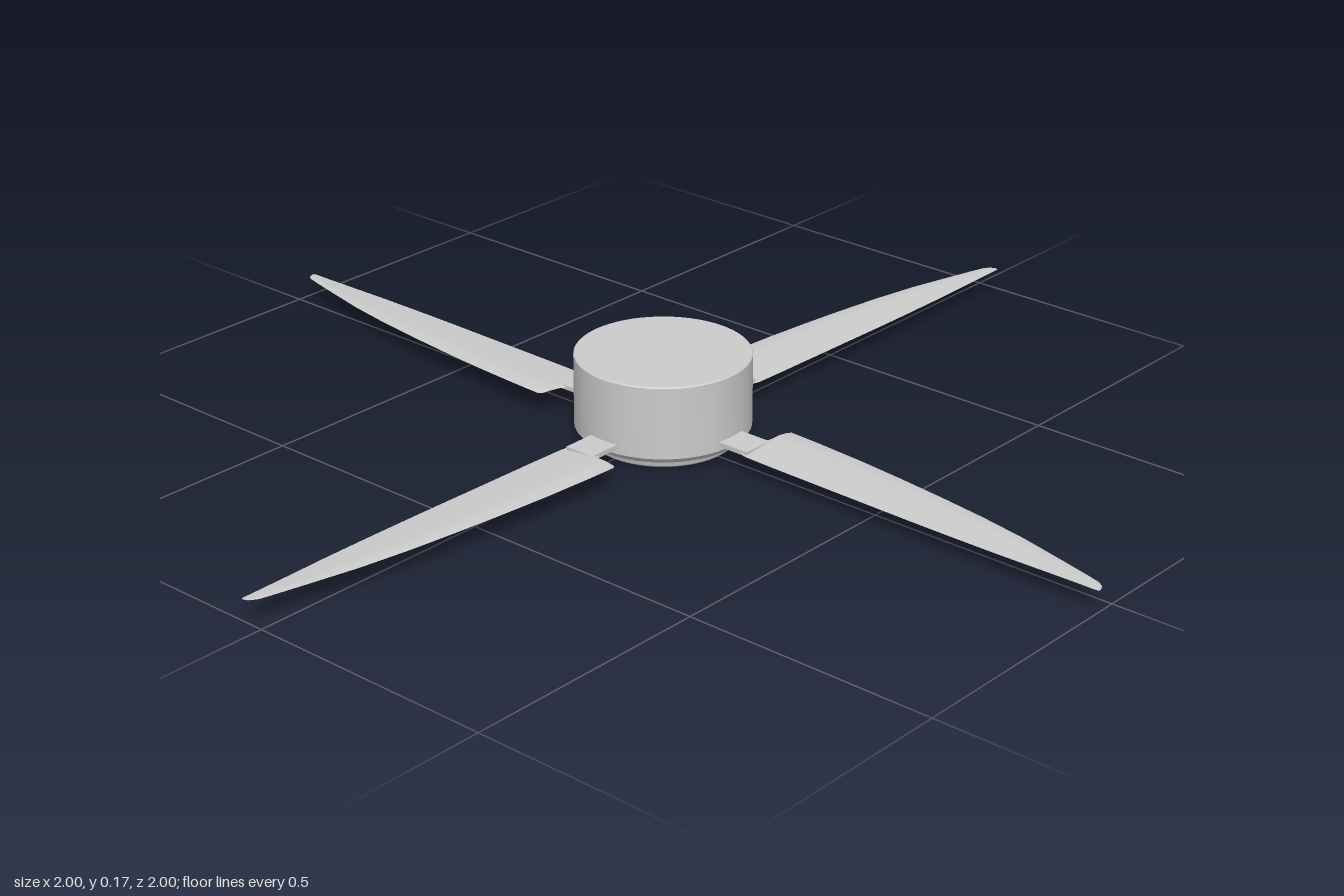
import * as THREE from 'three';
import { toCreasedNormals } from 'three/addons/utils/BufferGeometryUtils.js';

const grey = new THREE.MeshStandardMaterial({ color: 0xcccccc });

// Blade stations along +x: [x, leading z, trailing z]
const stations = [
  [0.215, -0.033, 0.033], [0.222, -0.042, 0.036], [0.227, -0.06, 0.038], [0.229, -0.083, 0.038],
  [0.235, -0.09, 0.039], [0.3, -0.087, 0.041], [0.4, -0.08, 0.043], [0.5, -0.07, 0.045],
  [0.6, -0.058, 0.047], [0.7, -0.044, 0.048], [0.8, -0.026, 0.048], [0.9, -0.002, 0.046],
  [0.96, 0.013, 0.045], [0.985, 0.02, 0.045], [0.996, 0.028, 0.045], [1.0, 0.036, 0.044],
];

// Thin cambered section, leading edge slightly raised
function bladeGeometry() {
  const steps = 6, ring = steps * 2, pos = [], idx = [];
  for (const [x, lead, trail] of stations) {
    const chord = trail - lead;
    for (let j = 0; j < ring; j++) {
      const t = j <= steps ? j / steps : 2 - j / steps;
      const z = lead + chord * t;
      const base = 0.0435 - z * 0.035;
      const bulge = Math.sin(Math.PI * Math.sqrt(t)) * chord;
      pos.push(x, base + (j <= steps ? 0.0006 + bulge * 0.035 : -0.0006 - bulge * 0.006), z);
    }
  }
  for (let i = 0; i < stations.length - 1; i++) {
    for (let j = 0; j < ring; j++) {
      const a = i * ring + j, b = i * ring + (j + 1) % ring;
      idx.push(a, b, a + ring, b, b + ring, a + ring);
    }
  }
  const end = (stations.length - 1) * ring;
  for (let j = 1; j < ring - 1; j++) {
    idx.push(end, end + j, end + j + 1);
    idx.push(0, j + 1, j);
  }
  const g = new THREE.BufferGeometry();
  g.setAttribute('position', new THREE.Float32BufferAttribute(pos, 3));
  g.setIndex(idx);
  return toCreasedNormals(g, 0.6);
}

function addMesh(parent, name, geometry) {
  const mesh = new THREE.Mesh(geometry, grey);
  mesh.name = name;
  parent.add(mesh);
  return mesh;
}

export function createModel() {
  const model = new THREE.Group();
  model.name = 'fourBladeRotor';

  // Cylindrical hub with a stepped lower rim
  const profile = [
    [0, 0], [0.135, 0], [0.14, 0.004], [0.144, 0.018], [0.158, 0.02],
    [0.166, 0.03], [0.166, 0.17], [0.164, 0.172], [0, 0.172],
  ].map(([r, y]) => new THREE.Vector2(r, y));
  addMesh(model, 'hub', toCreasedNormals(new THREE.LatheGeometry(profile, 64), 0.5));

  // Four identical blades, each on a flat root
  const blade = bladeGeometry();
  const root = new THREE.BoxGeometry(0.09, 0.009, 0.064);
  for (let i = 0; i < 4; i++) {
    const arm = new THREE.Group();
    arm.name = 'bladeArm' + (i + 1);
    addMesh(arm, 'blade', blade);
    addMesh(arm, 'bladeRoot', root).position.set(0.185, 0.0445, 0);
    arm.rotation.y = i * Math.PI / 2;
    model.add(arm);
  }
  return model;
}
